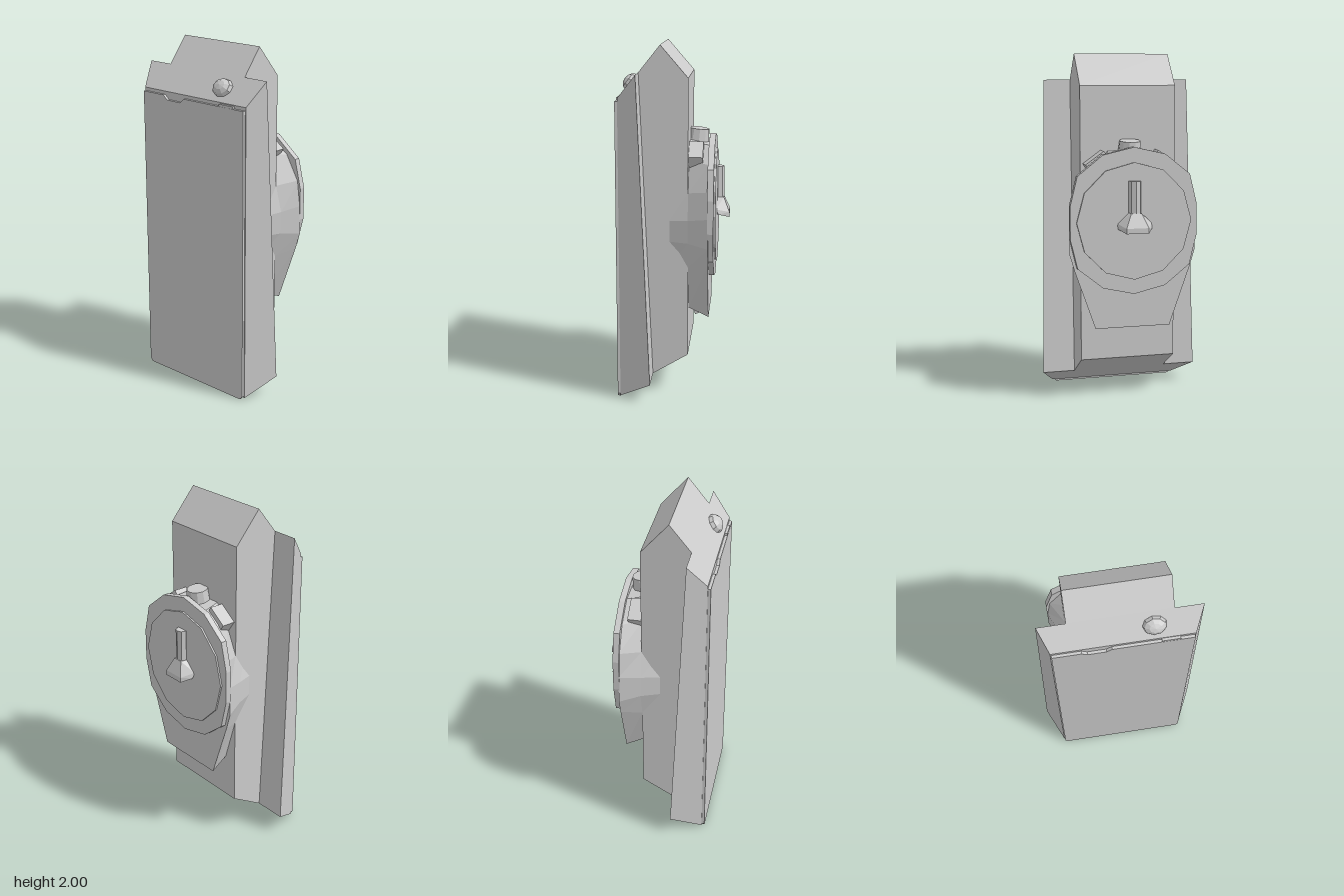
import * as THREE from 'three';
import { ConvexGeometry } from 'three/addons/geometries/ConvexGeometry.js';

const material = new THREE.MeshStandardMaterial({ color: 0xcccccc, flatShading: true });

function add(parent, name, geometry, position = [0, 0, 0], rotation = [0, 0, 0]) {
  const mesh = new THREE.Mesh(geometry, material);
  mesh.name = name;
  mesh.position.set(...position);
  mesh.rotation.set(...rotation);
  parent.add(mesh);
  return mesh;
}

const shapeOf = (points) => new THREE.Shape(points.map(([x, y]) => new THREE.Vector2(x, y)));

const extrude = (points, depth) =>
  new THREE.ExtrudeGeometry(shapeOf(points), { depth, bevelEnabled: false });

// Convex solid from points given for +x and mirrored to -x
const mirroredHull = (points) =>
  new ConvexGeometry(points.flatMap(([x, y, z]) => [
    new THREE.Vector3(x, y, z), new THREE.Vector3(-x, y, z)]));

// Half outline listed from top to bottom on +x, completed on -x
const mirrorOutline = (half) =>
  [...half, ...half.slice().reverse().map(([x, y]) => [-x, y])];

// Skin over rings of equal length, ordered from front to back, closed at the back
function loft(rings) {
  const pos = [];
  const n = rings[0].points.length;
  const v = (r, i) => [...rings[r].points[i % n], rings[r].z];
  for (let r = 0; r < rings.length - 1; r++) {
    for (let i = 0; i < n; i++) {
      const a = v(r, i), b = v(r, i + 1), c = v(r + 1, i), d = v(r + 1, i + 1);
      pos.push(...a, ...b, ...c, ...b, ...d, ...c);
    }
  }
  const last = rings.length - 1;
  for (let i = 1; i < n - 1; i++) pos.push(...v(last, 0), ...v(last, i), ...v(last, i + 1));
  const geometry = new THREE.BufferGeometry();
  geometry.setAttribute('position', new THREE.Float32BufferAttribute(pos, 3));
  geometry.computeVertexNormals();
  return geometry;
}

function addCase(group) {
  // Wide front housing with tapered sides
  add(group, 'frontHousing', mirroredHull([
    [0.382, 1.719, 0.295], [0.382, 0.01, 0.295],
    [0.435, 1.85, 0.19], [0.47, 0.11, 0.117],
  ]));

  // Narrower rear core with a ridged top and sloping base
  const core = extrude([
    [0.117, 0.11], [0.19, 1.85], [0.07, 2.0], [-0.085, 1.82], [-0.085, 0.23],
  ], 0.56);
  core.rotateY(-Math.PI / 2);
  core.translate(0.28, 0, 0);
  add(group, 'rearCore', core);

  // Front panel with a notch in its top edge
  add(group, 'frontPanel', extrude([
    [-0.36, 0], [0.36, 0], [0.377, 0.02], [0.377, 1.7],
    [-0.06, 1.7], [-0.09, 1.675], [-0.19, 1.675], [-0.22, 1.7],
    [-0.377, 1.7], [-0.377, 0.02],
  ], 0.016), [0, 0, 0.295]);
  add(group, 'panelCatch', new THREE.BoxGeometry(0.1, 0.03, 0.02), [0.25, 1.698, 0.3]);

  // Faceted button on the sloping top
  const button = add(group, 'topButton', new THREE.SphereGeometry(0.065, 9, 6),
    [0.17, 1.785, 0.242], [0.9, 0, 0]);
  button.scale.set(1, 0.65, 0.85);
}

function addRearPod(group) {
  const pod = new THREE.Group();
  pod.name = 'rearPod';
  group.add(pod);

  // Flared body, widening towards the back
  add(pod, 'podBody', loft([
    { z: 0.02, points: mirrorOutline([[0.1, 1.4], [0.15, 1.3], [0.24, 1.15],
      [0.28, 1.02], [0.28, 0.9], [0.23, 0.75], [0.15, 0.55]]) },
    { z: -0.085, points: mirrorOutline([[0.12, 1.45], [0.2, 1.35], [0.28, 1.18],
      [0.32, 1.03], [0.32, 0.9], [0.28, 0.75], [0.2, 0.49]]) },
    { z: -0.2, points: mirrorOutline([[0.14, 1.43], [0.27, 1.34], [0.35, 1.2],
      [0.37, 1.05], [0.37, 0.88], [0.34, 0.78], [0.22, 0.44]]) },
  ]));

  // Flange with flattened sides
  const flange = [];
  for (let i = 0; i < 14; i++) {
    const a = (i / 14) * Math.PI * 2 + Math.PI / 2;
    const x = THREE.MathUtils.clamp(0.42 * Math.cos(a), -0.37, 0.37);
    flange.push([x, 1.06 + 0.42 * Math.sin(a)]);
  }
  add(pod, 'flange', extrude(flange, 0.035), [0, 0, -0.23]);

  // Raised round back plate
  add(pod, 'backPlate', new THREE.CylinderGeometry(0.335, 0.335, 0.02, 12),
    [0, 1.06, -0.23], [Math.PI / 2, 0, 0]);

  // Crown and two slanted buttons on the upper rim
  add(pod, 'crown', new THREE.CylinderGeometry(0.06, 0.072, 0.1, 11),
    [0, 1.46, -0.125], [-0.12, 0, 0]);
  for (const side of [-1, 1]) {
    add(pod, 'sideButton', new THREE.BoxGeometry(0.13, 0.08, 0.08),
      [side * 0.19, 1.385, -0.125], [0, 0, -side * 0.62]);
  }

  // Small feet under the lower edge
  for (const side of [-1, 1]) {
    add(pod, 'lowerFoot', new THREE.BoxGeometry(0.12, 0.04, 0.07),
      [side * 0.09, 0.465, -0.145], [0.4, 0, 0]);
  }
}

function addLever(group) {
  const lever = new THREE.Group();
  lever.name = 'backLever';
  group.add(lever);
  add(lever, 'leverStem', new THREE.CylinderGeometry(0.036, 0.036, 0.22, 8), [0, 1.18, -0.243]);
  add(lever, 'leverFoot', mirroredHull([
    [0.036, 1.11, -0.235], [0.03, 1.11, -0.278],
    [0.1, 1.05, -0.235], [0.1, 1.02, -0.25],
    [0.065, 1.03, -0.311], [0.065, 1.0, -0.311], [0.08, 1.02, -0.235],
  ]));
}

export function createModel() {
  const group = new THREE.Group();
  group.name = 'device';
  addCase(group);
  addRearPod(group);
  addLever(group);
  return group;
}
